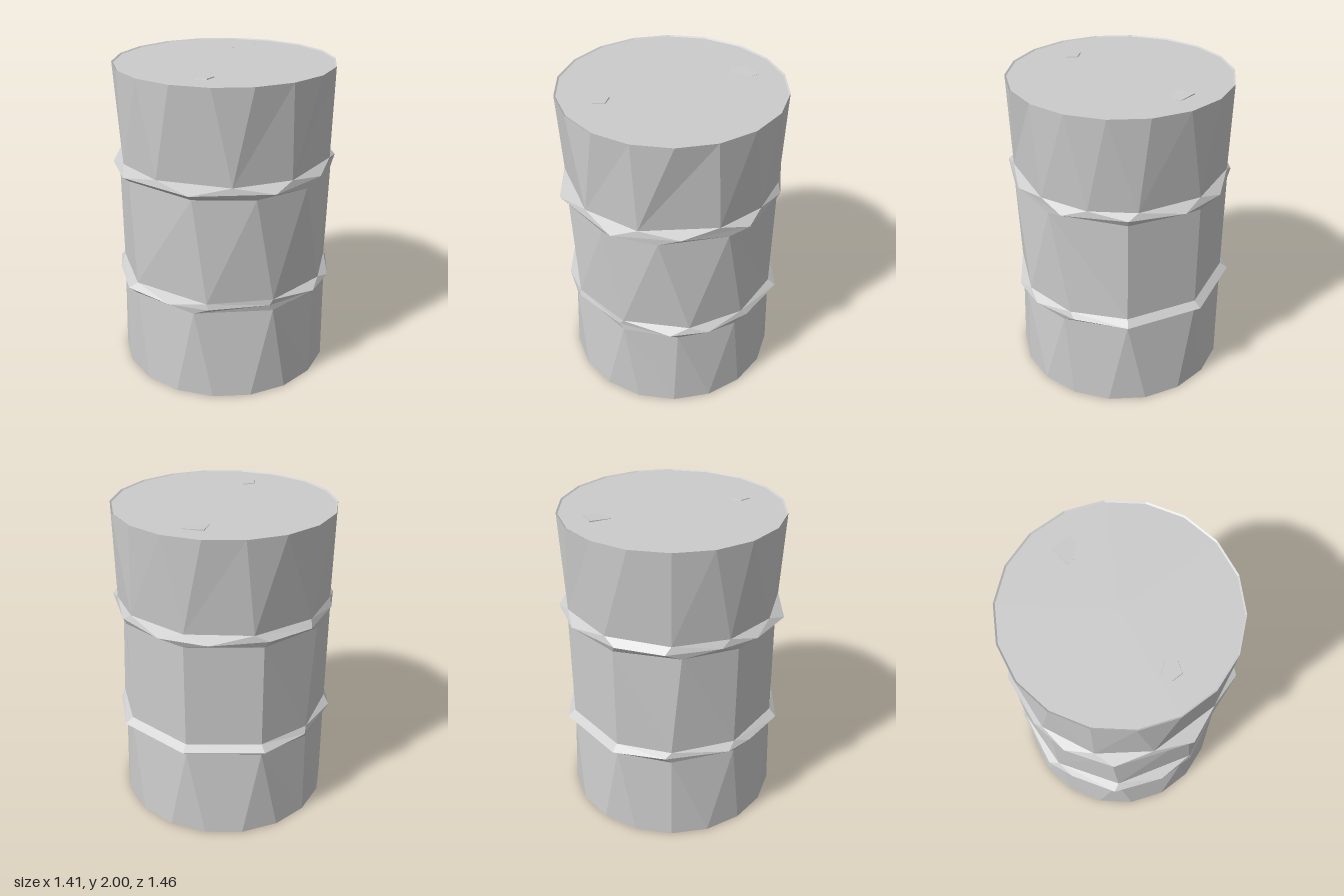
import * as THREE from 'three';

const material = new THREE.MeshStandardMaterial({ color: 0xcccccc, flatShading: true });
const SIDES = 18;

// a ring of points; angles in degrees run from the front towards +x
function ring(y, r, angles) {
  return angles.map((a, i) => ({ a, r: Array.isArray(r) ? r[i] : r, y }));
}
const evenRing = (y, r) => ring(y, r, Array.from({ length: SIDES }, (_, i) => 10 + (360 / SIDES) * i));

// joins two rings of any point counts with triangles, always stepping to the nearer angle
function stitch(lower, upper, out) {
  const at = (loop, i) => {
    const p = loop[i % loop.length];
    return { ...p, a: p.a + (i >= loop.length ? 360 : 0) };
  };
  const push = (...points) => points.forEach(({ a, r, y }) => {
    const t = THREE.MathUtils.degToRad(a);
    out.push(r * Math.sin(t), y, r * Math.cos(t));
  });
  let i = 0, j = 0;
  while (i < lower.length || j < upper.length) {
    const stepLower = j >= upper.length ||
      (i < lower.length && at(lower, i + 1).a <= at(upper, j + 1).a);
    if (stepLower) {
      push(at(lower, i), at(lower, i + 1), at(upper, j));
      i++;
    } else {
      push(at(lower, i), at(upper, j + 1), at(upper, j));
      j++;
    }
  }
}

function loft(name, rings) {
  const out = [];
  for (let k = 0; k + 1 < rings.length; k++) stitch(rings[k], rings[k + 1], out);
  const geometry = new THREE.BufferGeometry();
  geometry.setAttribute('position', new THREE.Float32BufferAttribute(out, 3));
  geometry.computeVertexNormals();
  return add(name, geometry);
}

function add(name, geometry) {
  const mesh = new THREE.Mesh(geometry, material);
  mesh.name = name;
  return mesh;
}

export function createModel() {
  const group = new THREE.Group();
  group.name = 'barrel';

  // loops bordering each raised hoop
  const lowerUnder = ring(0.59, 0.68, [0, 42, 72, 105, 140, 180, 220, 250, 285, 322]);
  const lowerOver = ring(0.665, 0.68, [7, 42, 78, 109, 140, 180, 220, 250, 285, 322]);
  const upperUnder = ring(1.34, 0.68, [0, 32, 62, 98, 140, 180, 220, 255, 285, 318]);
  const upperOver = ring(1.42, 0.675, [20, 52, 93, 120, 145, 180, 215, 250, 280, 310, 340]);

  // wall sections
  group.add(loft('lowerWall', [evenRing(0.005, 0.68), evenRing(0, 0.69), lowerUnder]));
  group.add(loft('middleWall', [lowerOver, upperUnder]));
  group.add(loft('upperWall', [upperOver, evenRing(2, 0.69), evenRing(1.993, 0.68)]));

  // irregular hoops
  const lowerCrest = ring(0.63,
    [0.69, 0.68, 0.71, 0.71, 0.7, 0.73, 0.73, 0.73, 0.7, 0.715, 0.7, 0.73, 0.7],
    [8, 40, 68, 88, 112, 140, 180, 220, 247, 280, 295, 320, 347]);
  const upperCrest = ring(1.38,
    [0.73, 0.73, 0.69, 0.715, 0.7, 0.715, 0.71, 0.7, 0.705, 0.69, 0.71, 0.73],
    [0, 40, 73, 108, 140, 168, 193, 222, 247, 275, 295, 320]);
  group.add(loft('lowerHoop', [lowerUnder, lowerCrest, lowerOver]));
  group.add(loft('upperHoop', [upperUnder, upperCrest, upperOver]));

  // end caps
  const lid = add('lid', new THREE.CircleGeometry(0.68, SIDES));
  lid.rotation.x = -Math.PI / 2;
  lid.position.y = 1.993;
  const base = add('base', new THREE.CircleGeometry(0.68, SIDES));
  base.rotation.x = Math.PI / 2;
  base.position.y = 0.005;
  group.add(lid, base);

  // nearly flush plugs in the lid
  const frontPlug = add('frontPlug', new THREE.CylinderGeometry(0.06, 0.065, 0.012, 5));
  frontPlug.position.set(0.005, 1.993, 0.445);
  frontPlug.rotation.y = Math.PI;
  const backPlug = add('backPlug', new THREE.BoxGeometry(0.13, 0.012, 0.13));
  backPlug.position.set(-0.005, 1.989, -0.465);
  backPlug.rotation.set(0.04, 0.08, -0.04);
  group.add(frontPlug, backPlug);

  return group;
}
